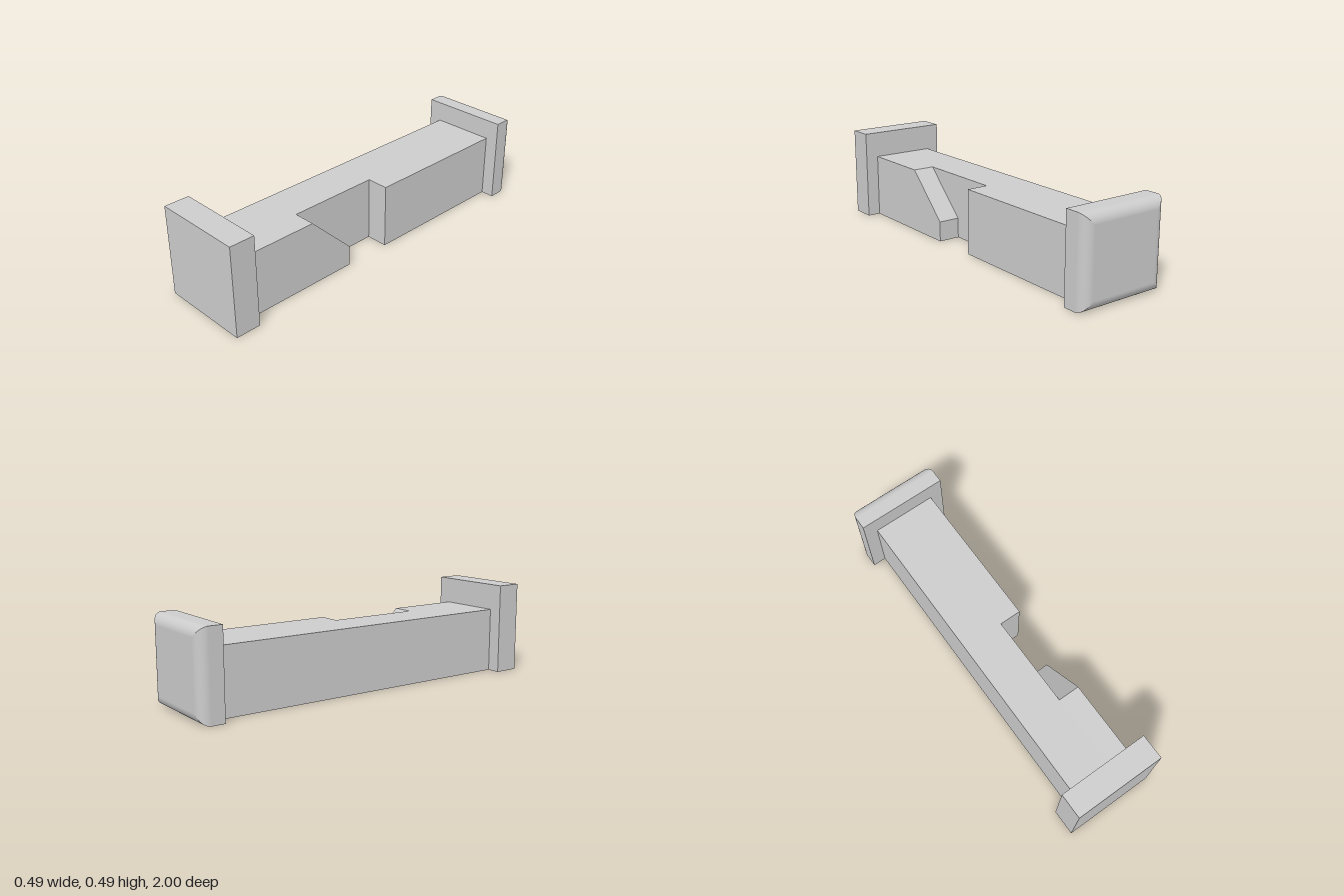
import * as THREE from 'three';

export function createModel() {
  const model = new THREE.Group();
  const grey = new THREE.MeshStandardMaterial({ color: 0xcccccc });
  grey.name = 'light grey';

  const add = (name, geometry, parent = model) => {
    const mesh = new THREE.Mesh(geometry, grey);
    mesh.name = name;
    parent.add(mesh);
    return mesh;
  };
  const box = (name, x0, x1, y0, y1, z0, z1) =>
    add(name, new THREE.BoxGeometry(x1 - x0, y1 - y0, z1 - z0))
      .position.set((x0 + x1) / 2, (y0 + y1) / 2, (z0 + z1) / 2);

  const front = 0.865, back = -0.873; // inner faces of the end plates
  const barHalf = 0.174, barTop = 0.35, notchX = 0.055;

  // Square front plate
  box('frontPlate', -0.246, 0.246, 0, 0.492, front, 1);

  // Bar: full-length core, with the notched left side in two pieces
  box('barCore', -barHalf, notchX, 0, barTop, back, front);
  box('barRearSide', notchX, barHalf, 0, barTop, back, -0.045);
  const profile = new THREE.Shape([
    [0.215, 0], [front, 0], [front, barTop], [0.46, barTop], [0.215, 0.11],
  ].map(([z, y]) => new THREE.Vector2(z, y)));
  const side = new THREE.ExtrudeGeometry(profile, { depth: barHalf - notchX, bevelEnabled: false });
  side.rotateY(-Math.PI / 2).translate(barHalf, 0, 0);
  add('barSlopedSide', side);

  // Back plate: four mitred sides that round over into the rear face
  const plate = new THREE.Group();
  plate.name = 'backPlate';
  plate.position.y = 0.23;
  model.add(plate);
  const hx = 0.246, hy = 0.23, r = 0.055, steps = 10;
  const rings = [{ inset: 0, z: back, a: 0 }];
  for (let i = 0; i <= steps; i++) {
    const a = (i / steps) * Math.PI / 2;
    rings.push({ inset: r * (1 - Math.cos(a)), z: -1 + r - r * Math.sin(a), a });
  }
  const pos = [], nor = [], idx = [];
  for (const [nx, ny] of [[1, 0], [0, 1], [-1, 0], [0, -1]]) {
    const ux = ny, uy = -nx;
    const base = pos.length / 3;
    rings.forEach(({ inset, z, a }, j) => {
      for (const s of [-1, 1]) {
        pos.push((nx + s * ux) * (hx - inset), (ny + s * uy) * (hy - inset), z);
        nor.push(nx * Math.cos(a), ny * Math.cos(a), -Math.sin(a));
      }
      if (j > 0) {
        const p = base + 2 * (j - 1);
        idx.push(p, p + 1, p + 3, p, p + 3, p + 2);
      }
    });
  }
  const rim = new THREE.BufferGeometry();
  rim.setAttribute('position', new THREE.Float32BufferAttribute(pos, 3));
  rim.setAttribute('normal', new THREE.Float32BufferAttribute(nor, 3));
  rim.setIndex(idx);
  add('backPlateRim', rim, plate);
  add('backPlateInnerFace', new THREE.PlaneGeometry(2 * hx, 2 * hy), plate).position.z = back;
  const rear = add('backPlateRearFace', new THREE.PlaneGeometry(2 * (hx - r), 2 * (hy - r)), plate);
  rear.rotation.y = Math.PI;
  rear.position.z = -1;

  return model;
}
